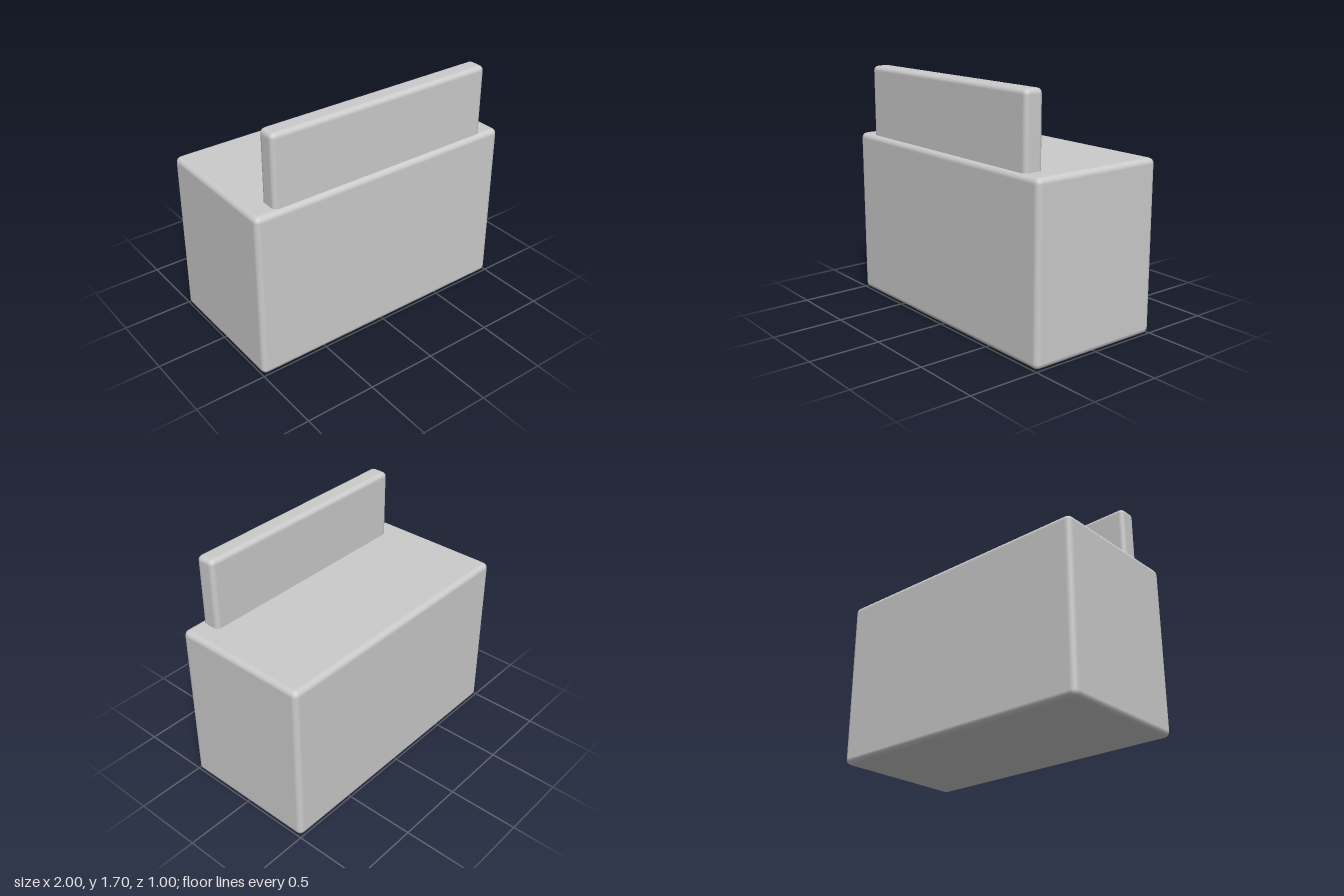
import * as THREE from 'three';
import { RoundedBoxGeometry } from 'three/addons/geometries/RoundedBoxGeometry.js';

export function createModel() {
  const group = new THREE.Group();
  const material = new THREE.MeshStandardMaterial({ color: 0xcccccc });

  function addBlock(name, [w, h, d], radius, [x, y, z]) {
    const mesh = new THREE.Mesh(new RoundedBoxGeometry(w, h, d, 2, radius), material);
    mesh.name = name;
    mesh.position.set(x, y, z);
    group.add(mesh);
  }

  // Main block, standing on the ground
  addBlock('body', [2, 1.2, 1], 0.04, [0, 0.6, 0]);

  // Upright panel near the front edge, sunk slightly into the body
  const top = 1.7, bottom = 1.15;
  addBlock('uprightPanel', [1.7, top - bottom, 0.14], 0.035, [0, (top + bottom) / 2, 0.4]);

  return group;
}
